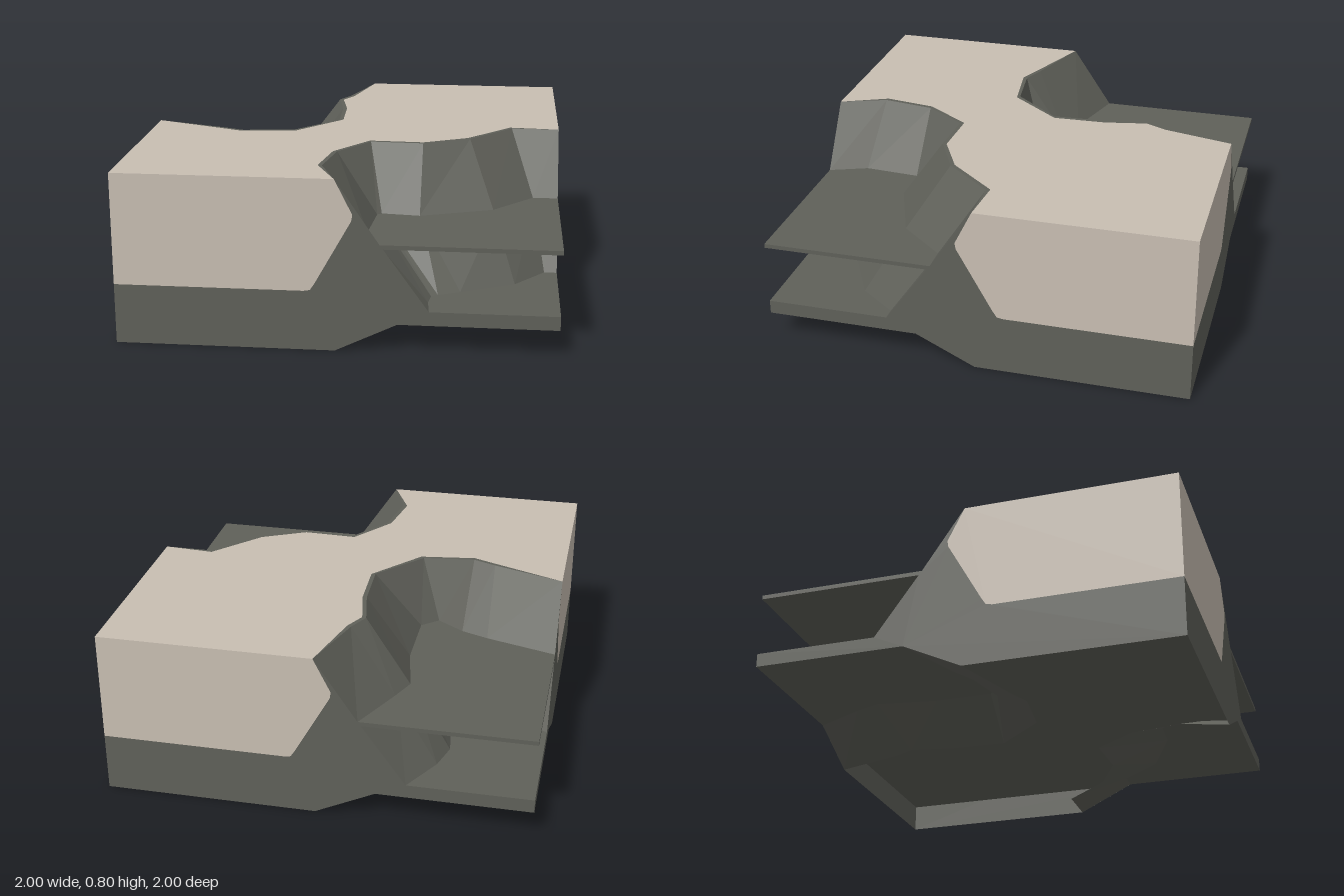
import * as THREE from 'three';

const rock = new THREE.MeshStandardMaterial({ color: 0x5f6059, side: THREE.DoubleSide, flatShading: true });
rock.name = 'rock grey';
const sand = new THREE.MeshStandardMaterial({ color: 0xc8beb2, side: THREE.DoubleSide, flatShading: true });
sand.name = 'pale sand';

// Heights of the tile's levels
const TOP = 0.8, LEDGE = 0.505, LEDGE_UNDER = 0.485, FLOOR = 0.2, CEILING = 0.135;

// Plan outlines [x, z] of the two opposite corner cliffs: crest, ledge line and floor line
const frontCliff = {
  name: 'frontCliff', corner: [1, 1],
  top: [[0, 1], [-0.08, 0.78], [-0.04, 0.53], [0.1, 0.33], [0.35, 0.34], [0.57, 0.23], [0.77, 0], [1, 0]],
  mid: [[0.2, 1], [0.13, 0.82], [0.15, 0.55], [0.17, 0.53], [0.35, 0.55], [0.69, 0.42], [0.88, 0.2], [1, 0.2]],
  low: [[0.42, 1], [0.41, 0.88], [0.42, 0.8], [0.45, 0.78], [0.55, 0.73], [0.8, 0.6], [0.94, 0.42], [1, 0.42]],
};
const backCliff = {
  name: 'backCliff', corner: [-1, -1],
  top: [[0, -1], [-0.1, -0.67], [-0.15, -0.57], [-0.11, -0.36], [-0.1, -0.1], [-0.3, 0.13], [-0.55, 0.16], [-0.66, 0.115], [-1, 0]],
  mid: [[-0.2, -1], [-0.32, -0.74], [-0.37, -0.62], [-0.32, -0.35], [-0.32, -0.03], [-0.4, 0.04], [-0.53, -0.05], [-0.66, -0.1], [-1, -0.2]],
  low: [[-0.42, -1], [-0.53, -0.8], [-0.57, -0.66], [-0.53, -0.34], [-0.53, -0.14], [-0.6, -0.12], [-0.65, -0.18], [-0.74, -0.26], [-1, -0.42]],
};

// Cut face along a tile edge: u runs along the edge, v is height
const sandEdge = [[0, TOP], [0.08, 0.64], [0.075, 0.61], [-0.09, 0.315], [-0.11, 0.285], [-0.14, 0.28], [-1, 0.28]];
const sandSection = [[-1, TOP], ...sandEdge];
const rockSection = [[-1, 0], [0, 0], [0.28, CEILING], [1, CEILING], [1, FLOOR], [0.42, FLOOR],
  [0.215, LEDGE_UNDER], [1, LEDGE_UNDER], [1, LEDGE], [0.2, LEDGE], ...sandEdge];

// Flat sheet from an outline; place(u, v) gives the position in space
function sheet(outline, place, material, name) {
  const geometry = new THREE.ShapeGeometry(new THREE.Shape(outline.map(([u, v]) => new THREE.Vector2(u, v))));
  const p = geometry.attributes.position;
  for (let i = 0; i < p.count; i++) p.setXYZ(i, ...place(p.getX(i), p.getY(i)));
  geometry.computeVertexNormals();
  const mesh = new THREE.Mesh(geometry, material);
  mesh.name = name;
  return mesh;
}

// Faceted band joining two outlines at two heights
function band(upper, upperY, lower, lowerY, name) {
  const positions = [];
  for (let i = 0; i < upper.length - 1; i++) {
    const [a, b] = [upper[i], upper[i + 1]].map(([x, z]) => [x, upperY, z]);
    const [c, d] = [lower[i], lower[i + 1]].map(([x, z]) => [x, lowerY, z]);
    positions.push(...a, ...c, ...b, ...b, ...c, ...d);
  }
  const geometry = new THREE.BufferGeometry();
  geometry.setAttribute('position', new THREE.Float32BufferAttribute(positions, 3));
  geometry.computeVertexNormals();
  const mesh = new THREE.Mesh(geometry, rock);
  mesh.name = name;
  return mesh;
}

const mix = (p, q, t) => p.map(([x, z], i) => [x + (q[i][0] - x) * t, z + (q[i][1] - z) * t]);
const level = (y) => (u, v) => [u, y, v];

// Crest outline moved 0.02 back from the cliff, with its ends kept on the tile edge
function rimOf({ top, mid }) {
  return top.map(([x, z], i) => {
    if (i === 0 || i === top.length - 1) return [x, z];
    const dx = x - mid[i][0], dz = z - mid[i][1];
    const k = 0.02 / Math.hypot(dx, dz);
    return [x + dx * k, z + dz * k];
  });
}

export function createModel() {
  const tile = new THREE.Group();
  tile.name = 'cliffTile';

  // Sandy top between the two cliff rims
  tile.add(sheet([...rimOf(frontCliff), [1, -1], ...rimOf(backCliff), [-1, 1]], level(TOP), sand, 'sandTop'));

  // Cliff faces, ledges, floors and the slope under each corner
  for (const outline of [frontCliff, backCliff]) {
    const { name, corner, top, mid, low } = outline;
    const cliff = new THREE.Group();
    cliff.name = name;
    const under = mix(mid, low, (LEDGE - LEDGE_UNDER) / (LEDGE - FLOOR));
    const foot = mix(mid, low, 0.36);
    cliff.add(
      band(rimOf(outline), TOP, top, TOP, 'rockRim'),
      band(top, TOP, mid, LEDGE, 'upperFace'),
      band(under, LEDGE_UNDER, low, FLOOR, 'lowerFace'),
      band(foot, CEILING, top, 0, 'footSlope'),
      sheet([...mid, corner], level(LEDGE), rock, 'ledgeTop'),
      sheet([...under, corner], level(LEDGE_UNDER), rock, 'ledgeUnderside'),
      sheet([...low, corner], level(FLOOR), rock, 'floor'),
    );
    tile.add(cliff);
  }

  // Side walls, the same section on all four edges
  const sides = {
    front: (u, v) => [u, v, 1],
    right: (u, v) => [1, v, u],
    back: (u, v) => [-u, v, -1],
    left: (u, v) => [-1, v, -u],
  };
  for (const [side, place] of Object.entries(sides)) {
    tile.add(sheet(rockSection, place, rock, side + 'RockWall'));
    tile.add(sheet(sandSection, place, sand, side + 'SandWall'));
  }

  // Recessed underside
  tile.add(sheet([[-1, -1], [1, -1], [1, 1], [-1, 1]], level(CEILING), rock, 'underside'));
  return tile;
}
